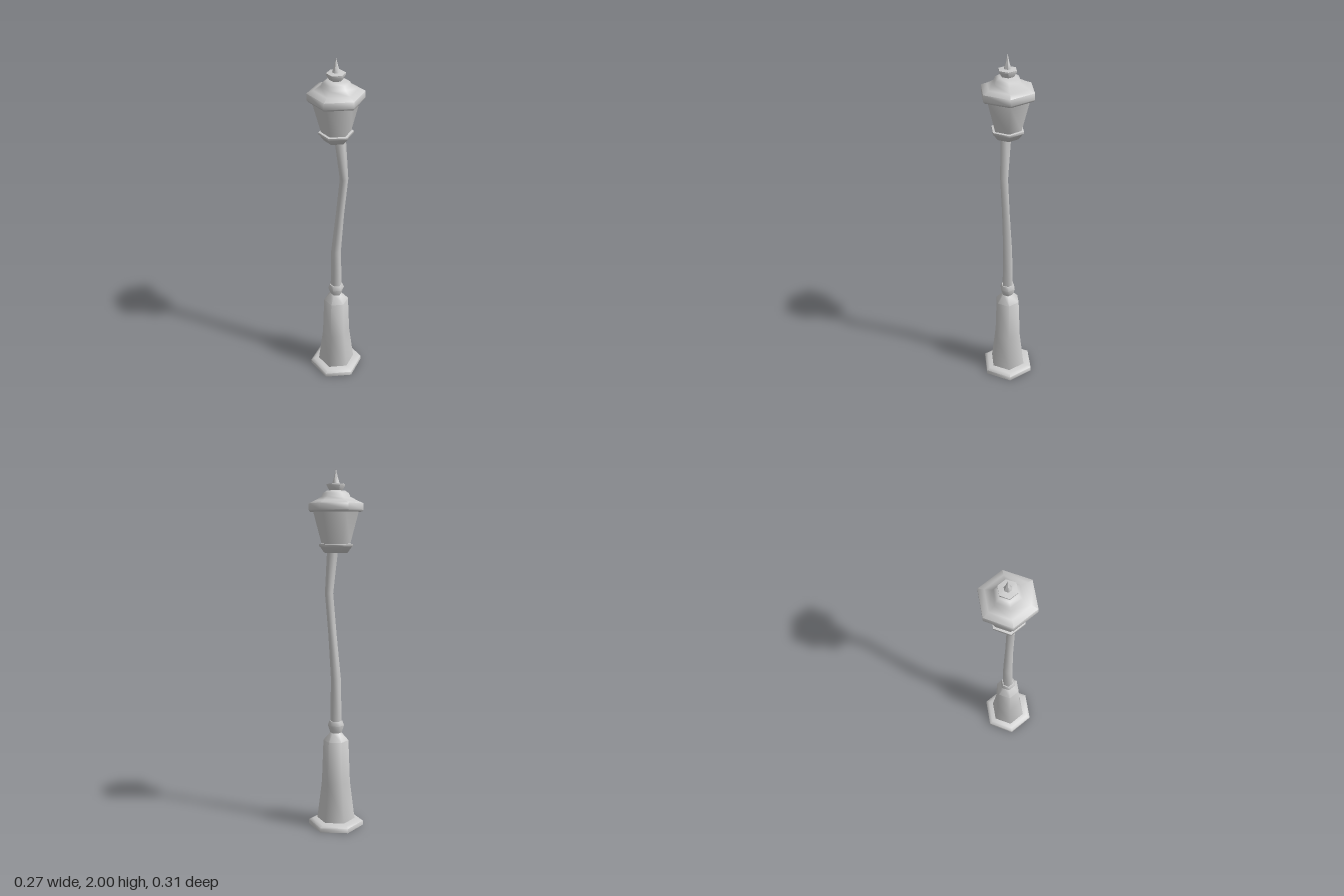
import * as THREE from 'three';
import { toCreasedNormals } from 'three/addons/utils/BufferGeometryUtils.js';

const material = new THREE.MeshStandardMaterial({ color: 0xcccccc, side: THREE.DoubleSide });

// Six-sided turned part with corners on the z axis; profile runs upward as [radius, y].
function hexPart(name, profile, bend) {
  const points = profile.map(([r, y]) => new THREE.Vector2(r, y));
  const lathe = new THREE.LatheGeometry(points, 6);
  if (bend) {
    const pos = lathe.attributes.position;
    for (let i = 0; i < pos.count; i++) pos.setX(i, pos.getX(i) + bend(pos.getY(i)));
  }
  const mesh = new THREE.Mesh(toCreasedNormals(lathe, 1.1), material);
  mesh.name = name;
  return mesh;
}

// Sideways offset of the crooked pole at a given height.
const bendPoints = [[0.5, 0], [0.85, 0], [1.1, 0.023], [1.33, 0.046], [1.56, 0.023]];
function poleBend(y) {
  for (let i = 1; i < bendPoints.length; i++) {
    const [y0, x0] = bendPoints[i - 1];
    const [y1, x1] = bendPoints[i];
    if (y <= y1) return x0 + (x1 - x0) * (y - y0) / (y1 - y0);
  }
  return 0.023;
}

export function createModel() {
  const model = new THREE.Group();
  model.name = 'streetLamp';

  // Hollow foot and flared pedestal
  model.add(hexPart('foot', [[0.155, 0], [0.155, 0.025], [0.135, 0.036], [0.107, 0.04]]));
  model.add(hexPart('pedestal', [[0.107, 0.04], [0.08, 0.26], [0.071, 0.5], [0.032, 0.545]]));
  model.add(hexPart('collar', [[0.032, 0.545], [0.046, 0.587], [0.037, 0.612], [0.031, 0.612]]));

  // Crooked pole
  model.add(hexPart('pole', [
    [0.032, 0.6], [0.028, 0.85], [0.023, 1.1], [0.023, 1.33], [0.03, 1.56],
  ], poleBend));

  // Lantern
  const lantern = new THREE.Group();
  lantern.name = 'lantern';
  lantern.add(hexPart('lanternBase', [
    [0, 1.553], [0.064, 1.553], [0.085, 1.583], [0.092, 1.588], [0.092, 1.6], [0.078, 1.602],
  ]));
  lantern.add(hexPart('lanternBody', [[0.078, 1.6], [0.124, 1.775]]));
  lantern.add(hexPart('roof', [
    [0.122, 1.773], [0.142, 1.773], [0.149, 1.783], [0.149, 1.818],
    [0.115, 1.833], [0.078, 1.853], [0.07, 1.872], [0.05, 1.885], [0, 1.887],
  ]));
  lantern.add(hexPart('finial', [
    [0.034, 1.884], [0.05, 1.912], [0.05, 1.92], [0.02, 1.924], [0.009, 1.96], [0, 2],
  ]));
  model.add(lantern);
  return model;
}
